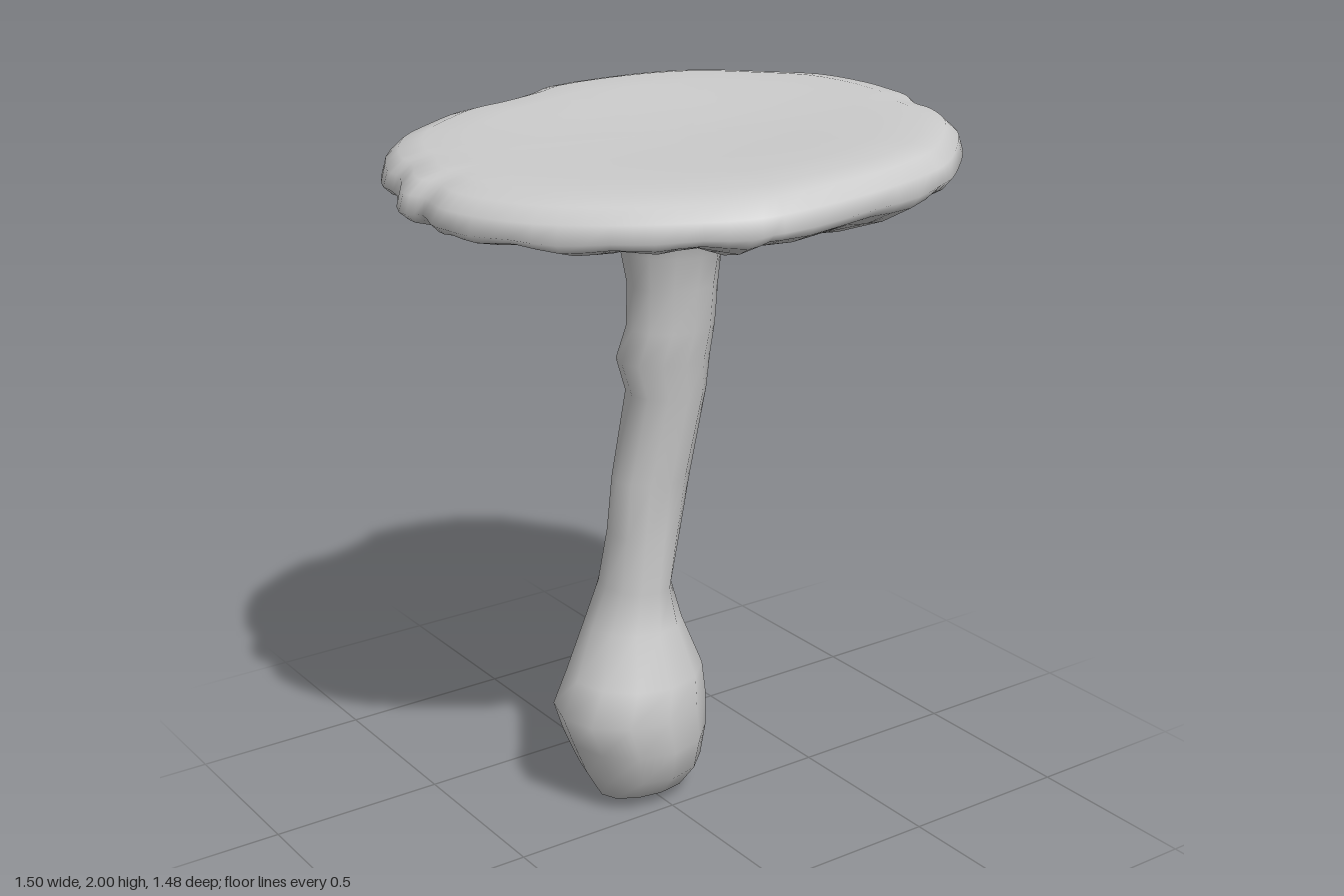
import * as THREE from 'three';

// Skins a stack of closed rings (counter-clockwise from above, ordered along the surface).
function loft(rings) {
  const n = rings[0].length, pos = [], idx = [];
  rings.forEach(r => r.forEach(p => pos.push(...p)));
  for (let i = 0; i < rings.length - 1; i++) {
    for (let j = 0; j < n; j++) {
      const k = (j + 1) % n;
      const a = i * n + j, b = i * n + k, c = a + n, d = b + n;
      idx.push(a, b, d, a, d, c);
    }
  }
  const g = new THREE.BufferGeometry();
  g.setAttribute('position', new THREE.Float32BufferAttribute(pos, 3));
  g.setIndex(idx);
  g.computeVertexNormals();
  return g;
}

// Irregular rim outline of the cap as [x, z].
const RIM = [
  [0.75, -0.08], [0.73, -0.27], [0.64, -0.42], [0.55, -0.56], [0.48, -0.63], [0.34, -0.7],
  [0.07, -0.74], [-0.02, -0.69], [-0.18, -0.65], [-0.29, -0.65], [-0.42, -0.59], [-0.56, -0.5],
  [-0.67, -0.31], [-0.68, -0.22], [-0.75, -0.08], [-0.73, 0], [-0.75, 0.1], [-0.73, 0.22],
  [-0.66, 0.38], [-0.54, 0.52], [-0.42, 0.62], [-0.28, 0.71], [-0.2, 0.73], [0.07, 0.73],
  [0.28, 0.69], [0.37, 0.65], [0.5, 0.54], [0.6, 0.43], [0.66, 0.3], [0.67, 0.22],
  [0.72, 0.13], [0.74, 0.02],
];

// Cap profile from under the centre, round the rim, to the top centre:
// [scale of outline, height, sideways tilt, gill fold depth]
const CAP = [
  [0.08, 1.79, 0, 0], [0.2, 1.765, 0, 0.006], [0.34, 1.745, 0, 0.01], [0.5, 1.755, 0.005, 0.014],
  [0.7, 1.785, 0.012, 0.014], [0.87, 1.825, 0.025, 0.012], [0.97, 1.86, 0.04, 0.008],
  [1, 1.885, 0.045, 0.004], [0.985, 1.925, 0.042, 0], [0.94, 1.957, 0.04, 0],
  [0.86, 1.971, 0.034, 0], [0.7, 1.972, 0.024, 0], [0.45, 1.962, 0.012, 0],
  [0.2, 1.957, 0.004, 0], [0, 1.956, 0, 0],
];

function capGeometry() {
  const curve = new THREE.CatmullRomCurve3(RIM.map(([x, z]) => new THREE.Vector3(x, 0, z)), true);
  const n = RIM.length * 3;
  const rim = Array.from({ length: n }, (_, j) => curve.getPoint(j / n));
  return loft(CAP.map(([s, y, tilt, fold]) => rim.map((p, j) => {
    const a = j / n * Math.PI * 2;
    const gill = fold * (0.6 * Math.sin(a * 24) + 0.4 * Math.sin(a * 13 + 1));
    // Notches of the rim fade out towards the centre.
    const r = Math.hypot(p.x, p.z), q = s * THREE.MathUtils.lerp(0.72 / r, 1, s * s);
    return [p.x * q, y + tilt * p.x / 0.72 + gill, p.z * q];
  })));
}

// Stem sections: [height, x min, x max, z min, z max]
const STEM = [
  [0.005, -0.01, -0.01, -0.13, -0.13], [0.045, -0.17, 0.12, -0.2, -0.02],
  [0.12, -0.21, 0.15, -0.29, 0.045], [0.22, -0.25, 0.16, -0.33, 0.08],
  [0.32, -0.29, 0.16, -0.315, 0.08], [0.42, -0.245, 0.145, -0.3, 0.07],
  [0.56, -0.18, 0.095, -0.27, 0.005], [0.68, -0.14, 0.05, -0.24, 0],
  [0.84, -0.13, 0.075, -0.2, 0.003], [1, -0.125, 0.1, -0.18, 0.01],
  [1.25, -0.095, 0.125, -0.16, 0.055], [1.35, -0.135, 0.13, -0.15, 0.07],
  [1.44, -0.11, 0.133, -0.135, 0.085], [1.56, -0.115, 0.133, -0.125, 0.1],
  [1.65, -0.125, 0.14, -0.155, 0.12], [1.74, -0.145, 0.17, -0.2, 0.15],
  [1.8, -0.2, 0.22, -0.24, 0.2],
];

function stemGeometry() {
  const n = 12;
  return loft(STEM.map(([y, x0, x1, z0, z1]) => Array.from({ length: n }, (_, j) => {
    const a = j / n * Math.PI * 2;
    return [
      (x0 + x1) / 2 + Math.cos(a) * (x1 - x0) / 2, y,
      (z0 + z1) / 2 - Math.sin(a) * (z1 - z0) / 2,
    ];
  })));
}

export function createModel() {
  const group = new THREE.Group();
  group.name = 'mushroom';
  const material = new THREE.MeshStandardMaterial({ color: 0xcccccc });
  const parts = { cap: capGeometry(), stem: stemGeometry() };
  for (const [name, geometry] of Object.entries(parts)) {
    const mesh = new THREE.Mesh(geometry, material);
    mesh.name = name;
    group.add(mesh);
  }
  return group;
}
